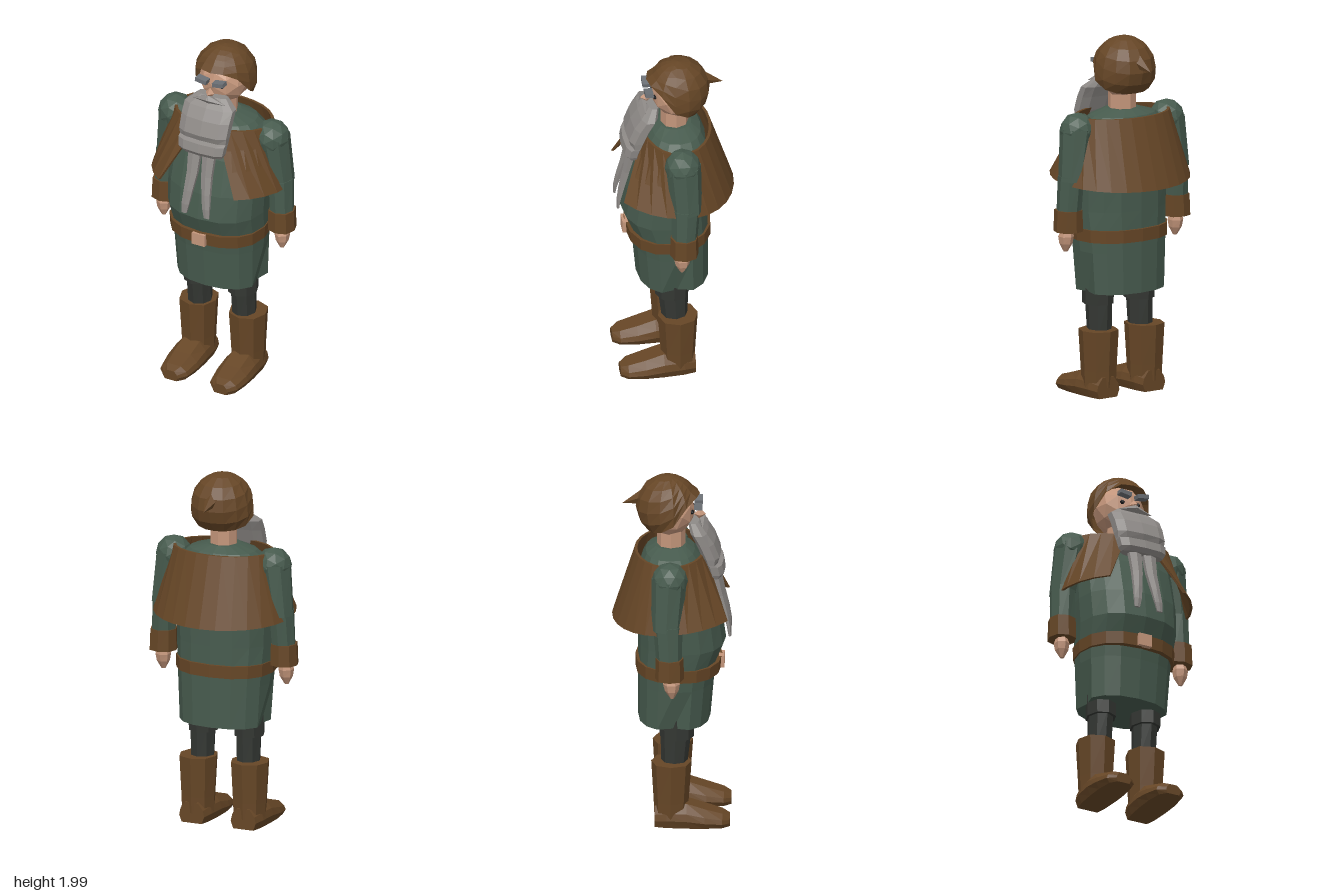
import * as THREE from 'three';

const { sin, cos, PI, abs, sign, max } = Math;

function paint(name, color) {
  const m = new THREE.MeshStandardMaterial({ color, flatShading: true, side: THREE.DoubleSide });
  m.name = name;
  return m;
}

// Skin a list of point rings (counter-clockwise seen from the last ring), with optional end caps
function loft(rings, { closed = true, capped = true } = {}) {
  const n = rings[0].length, pos = [], idx = [];
  rings.forEach(r => r.forEach(p => pos.push(...p)));
  const cols = closed ? n : n - 1;
  for (let i = 0; i < rings.length - 1; i++) {
    for (let j = 0; j < cols; j++) {
      const k = (j + 1) % n, a = i * n + j, b = i * n + k, c = b + n, d = a + n;
      idx.push(a, b, c, a, c, d);
    }
  }
  if (capped) {
    [0, rings.length - 1].forEach((i, end) => {
      const mid = [0, 1, 2].map(q => rings[i].reduce((s, p) => s + p[q], 0) / n);
      const m = pos.length / 3;
      pos.push(...mid);
      for (let j = 0; j < n; j++) {
        const a = i * n + j, b = i * n + (j + 1) % n;
        if (end) idx.push(a, b, m); else idx.push(b, a, m);
      }
    });
  }
  const g = new THREE.BufferGeometry();
  g.setAttribute('position', new THREE.Float32BufferAttribute(pos, 3));
  g.setIndex(idx);
  const flat = g.toNonIndexed();
  flat.computeVertexNormals();
  return flat;
}

// Level oval ring: height, half width, back z, front z, centre x
function oval([y, w, zb, zf, cx = 0], n = 8, power = 1) {
  const soft = v => sign(v) * Math.pow(abs(v), power);
  return Array.from({ length: n }, (_, i) => {
    const t = i / n * 2 * PI;
    return [cx + w * soft(sin(t)), y, (zf + zb) / 2 + (zf - zb) / 2 * soft(cos(t))];
  });
}
const ovals = (list, n, power) => loft(list.map(r => oval(r, n, power)));

export function createModel() {
  const brown = paint('brown leather', 0x664626);
  const green = paint('green cloth', 0x475b4e);
  const dark = paint('dark trousers', 0x343733);
  const skin = paint('skin', 0xc4967b);
  const gray = paint('gray hair', 0x8e8a87);
  const browGray = paint('brow gray', 0x6c7075);
  const black = paint('eye black', 0x17181a);

  const model = new THREE.Group();
  const add = (name, geo, mat, x = 0, y = 0, z = 0, parent = model) => {
    const m = new THREE.Mesh(geo, mat);
    m.name = name;
    m.position.set(x, y, z);
    parent.add(m);
    return m;
  };

  // Tunic with a bulging belly and a notch in each side of the skirt
  const tunic = [
    [0.59, 0.25, -0.18, 0.215], [0.82, 0.262, -0.18, 0.235], [0.93, 0.27, -0.18, 0.25],
    [1.05, 0.278, -0.18, 0.3], [1.2, 0.283, -0.18, 0.28], [1.4, 0.275, -0.175, 0.225],
    [1.52, 0.25, -0.165, 0.17], [1.57, 0.19, -0.14, 0.13], [1.6, 0.09, -0.09, 0.085],
  ].map(r => oval(r, 16, 0.85));
  tunic[0][4][0] *= 0.86;
  tunic[0][12][0] *= 0.86;
  add('tunic', loft(tunic), green);

  // Belt and buckle
  add('belt', ovals([[0.88, 0.275, -0.195, 0.275], [0.95, 0.278, -0.195, 0.28]], 16, 0.85), brown);
  add('buckle', new THREE.BoxGeometry(0.08, 0.07, 0.03), skin, 0, 0.915, 0.277);

  // Shoulder cape, open at the front
  const capeRings = [], steps = 22;
  for (let i = 0; i <= steps; i++) {
    const f = i / steps;
    const top = 0.2 + f * (2 * PI - 0.4), low = 0.63 + f * (2 * PI - 1.26);
    const at = (t, rx, rf, rb, y) => [rx * sin(t), y, cos(t) * (cos(t) > 0 ? rf : rb)];
    const hem = 1.217 + 0.03 * cos(low);
    capeRings.push([
      at(top, 0.29, 0.19, 0.2, 1.575), at(low, 0.4, 0.39, 0.323, hem),
      at(low, 0.385, 0.375, 0.308, hem), at(top, 0.275, 0.175, 0.185, 1.575),
    ]);
  }
  add('cape', loft(capeRings), brown);

  // Neck and head
  add('neck', new THREE.CylinderGeometry(0.077, 0.077, 0.16, 8), skin, 0, 1.64, 0);
  add('head', new THREE.IcosahedronGeometry(0.142, 1), skin, 0, 1.8, -0.01);
  const nose = add('nose', new THREE.OctahedronGeometry(0.03), skin, 0, 1.775, 0.158);
  nose.scale.set(0.9, 1.1, 1.1);

  // Hood: a dome whose lower edge rises over the face
  const edge = [66, 66, 80, 112, 128, 136, 140, 140], half = 7, hoodRings = [];
  for (let i = 6; i >= 0; i--) {
    const ring = [];
    for (let j = 0; j < half * 2; j++) {
      const az = j / half * PI;
      const phi = edge[j <= half ? j : half * 2 - j] * PI / 180 * max(i / 6, 0.001);
      const brim = i === 6 && cos(az) > 0.8 ? 0.018 : 0;
      const flare = 1 + 0.25 * max(0, -cos(phi));
      ring.push([
        0.172 * sin(phi) * sin(az) * flare, 1.828 + 0.172 * cos(phi),
        -0.02 + 0.174 * sin(phi) * cos(az) + brim,
      ]);
    }
    hoodRings.push(ring);
  }
  add('hood', loft(hoodRings, { capped: false }), brown);

  // Drooping hood tip
  const tipFrom = new THREE.Vector3(0, 1.885, -0.12), tipTo = new THREE.Vector3(0, 1.835, -0.267);
  const dir = tipTo.clone().sub(tipFrom), len = dir.length();
  const tip = add('hoodTip', new THREE.ConeGeometry(0.055, len, 5), brown);
  tip.position.copy(tipFrom).add(tipTo).multiplyScalar(0.5);
  tip.quaternion.setFromUnitVectors(new THREE.Vector3(0, 1, 0), dir.normalize());

  // Beard with a step near its lower end
  add('beard', ovals([
    [1.44, 0.13, 0.2, 0.28], [1.465, 0.142, 0.2, 0.298], [1.515, 0.148, 0.185, 0.288],
    [1.525, 0.148, 0.185, 0.262], [1.56, 0.152, 0.165, 0.275], [1.64, 0.154, 0.13, 0.245],
    [1.7, 0.155, 0.1, 0.205], [1.75, 0.09, 0.09, 0.155],
  ], 10, 0.75), gray);

  for (const s of [1, -1]) {
    const side = s > 0 ? 'left' : 'right';
    const group = new THREE.Group();
    group.name = side + 'Side';
    model.add(group);
    const put = (name, geo, mat, x = 0, y = 0, z = 0) =>
      add(side + name, geo, mat, s * x, y, z, group);
    const tube = (list, n = 8, power = 1) =>
      ovals(list.map(([y, w, zb, zf, cx]) => [y, w, zb, zf, cx * s]), n, power);

    // Eye, brow, moustache and beard tail
    put('Eye', new THREE.IcosahedronGeometry(0.014, 0), black, 0.048, 1.806, 0.115);
    const brow = put('Brow', new THREE.BoxGeometry(0.068, 0.024, 0.045), browGray, 0.053, 1.84, 0.15);
    brow.rotation.z = s * 0.15;
    const moustache = put('Moustache', new THREE.ConeGeometry(0.026, 0.11, 5), gray, 0.05, 1.738, 0.175);
    moustache.rotation.z = -s * 1.72;
    put('BeardTail', tube([
      [1.085, 0.018, 0.315, 0.33, 0.07], [1.14, 0.026, 0.305, 0.33, 0.064],
      [1.22, 0.03, 0.28, 0.318, 0.055], [1.32, 0.036, 0.25, 0.295, 0.045],
      [1.47, 0.045, 0.21, 0.265, 0.044],
    ], 6), gray);

    // Arm
    put('Shoulder', new THREE.IcosahedronGeometry(0.1, 1), green, 0.3, 1.505, 0);
    put('UpperArm', tube([[1.235, 0.07, -0.1, 0.068, 0.35], [1.52, 0.09, -0.1, 0.095, 0.308]]), green);
    put('Forearm', tube([[1.0, 0.067, -0.068, 0.07, 0.362], [1.26, 0.068, -0.09, 0.07, 0.352]]), green);
    put('Cuff', tube([[0.95, 0.077, -0.078, 0.08, 0.363], [1.07, 0.073, -0.075, 0.077, 0.362]], 8, 0.85), brown);
    put('Hand', tube([
      [0.835, 0.012, 0.005, 0.025, 0.37], [0.88, 0.036, -0.025, 0.05, 0.37],
      [0.92, 0.042, -0.035, 0.058, 0.37], [0.965, 0.028, -0.025, 0.04, 0.368],
    ], 6), skin);

    // Leg
    put('Thigh', tube([[0.515, 0.083, -0.058, 0.128, 0.138], [0.68, 0.085, -0.065, 0.13, 0.138]]), dark);
    put('Shin', tube([[0.34, 0.066, -0.05, 0.09, 0.138], [0.53, 0.068, -0.055, 0.112, 0.138]]), dark);

    // Boot shaft and foot
    put('BootShaft', tube([
      [0.06, 0.092, -0.088, 0.095, 0.155], [0.15, 0.095, -0.092, 0.1, 0.155],
      [0.375, 0.106, -0.105, 0.116, 0.155],
    ], 8, 0.9), brown);
    const foot = [
      [-0.085, 0.075, 0.12], [-0.02, 0.092, 0.14], [0.09, 0.1, 0.14],
      [0.19, 0.1, 0.108], [0.285, 0.085, 0.08], [0.325, 0.045, 0.062],
    ].map(([z, w, h]) => [
      [1, 0.35], [0.9, 0.65], [0.5, 1], [-0.5, 1], [-0.9, 0.65], [-1, 0.35], [-0.8, 0], [0.8, 0],
    ].map(([u, v]) => [s * 0.155 + u * w, 0.005 + v * (h - 0.005), z]));
    put('BootFoot', loft(foot), brown);
  }
  return model;
}
